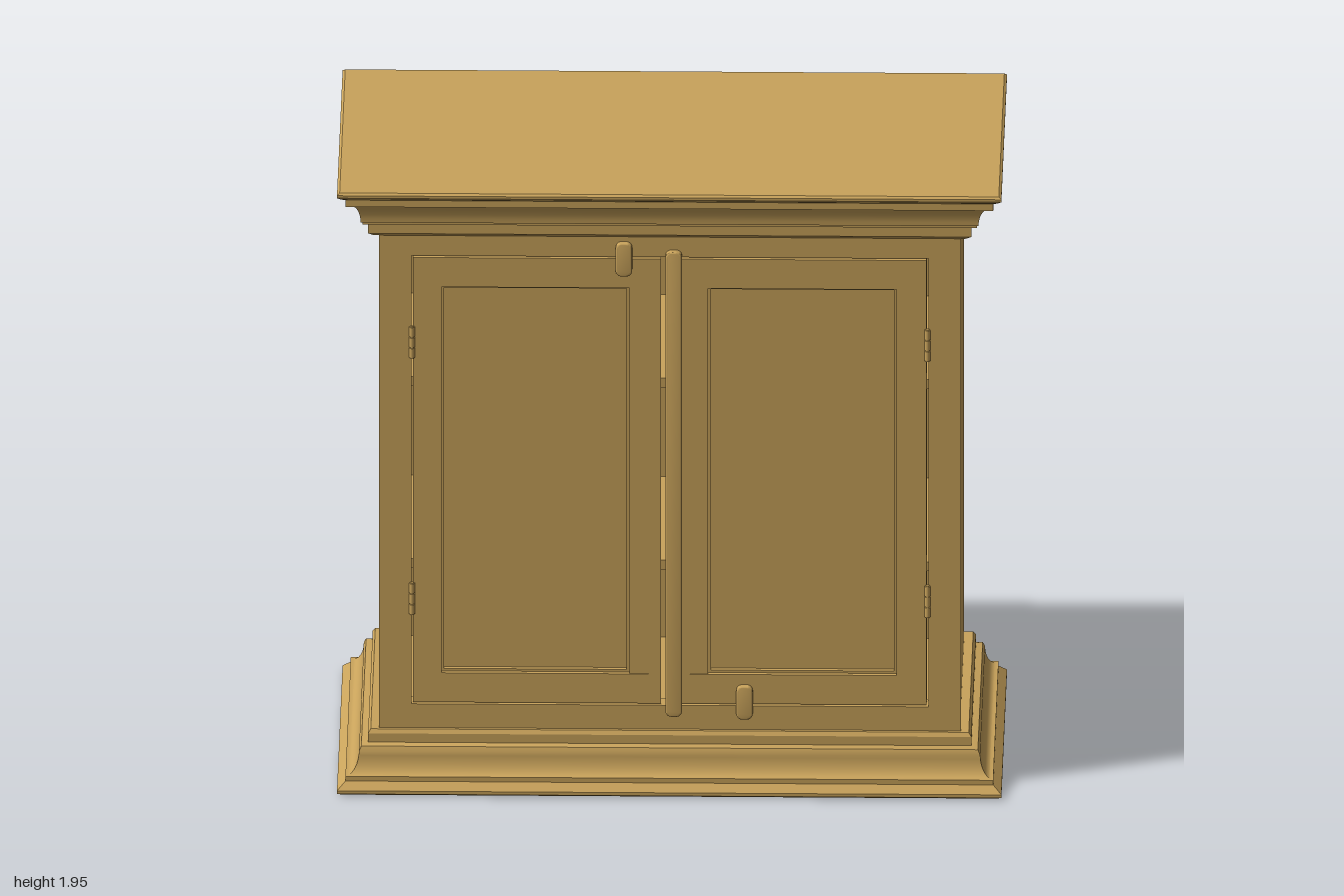
import * as THREE from 'three';
import { toCreasedNormals } from 'three/addons/utils/BufferGeometryUtils.js';

const wood = new THREE.MeshStandardMaterial({ color: 0xc9a35b });

function add(parent, name, geometry, x = 0, y = 0, z = 0) {
  const mesh = new THREE.Mesh(geometry, wood);
  mesh.name = name;
  mesh.position.set(x, y, z);
  parent.add(mesh);
  return mesh;
}

// Box given by its limits on each axis
function slab(parent, name, [x0, x1], [y0, y1], [z0, z1]) {
  const g = new THREE.BoxGeometry(x1 - x0, y1 - y0, z1 - z0);
  return add(parent, name, g, (x0 + x1) / 2, (y0 + y1) / 2, (z0 + z1) / 2);
}

// Mitred moulding: each profile point [half width, y] becomes a rectangular ring
function moulding(profile) {
  const pos = [];
  const index = [];
  for (const [hx, y] of profile) {
    const hz = hx - 0.49;
    pos.push(hx, y, hz, hx, y, -hz, -hx, y, -hz, -hx, y, hz);
  }
  for (let r = 0; r < profile.length - 1; r++) {
    for (let i = 0; i < 4; i++) {
      const a = r * 4 + i, b = r * 4 + ((i + 1) % 4);
      index.push(a, b, b + 4, a, b + 4, a + 4);
    }
  }
  const t = (profile.length - 1) * 4;
  index.push(0, 2, 1, 0, 3, 2, t, t + 1, t + 2, t, t + 2, t + 3);
  const g = new THREE.BufferGeometry();
  g.setAttribute('position', new THREE.Float32BufferAttribute(pos, 3));
  g.setIndex(index);
  return toCreasedNormals(g, 0.45);
}

// Concave quarter curve between a narrow and a wide profile point
function cove([x0, y0], [x1, y1], steps = 8) {
  const pts = [];
  for (let i = 0; i <= steps; i++) {
    const a = (i / steps) * Math.PI / 2;
    pts.push([x0 + (x1 - x0) * (1 - Math.cos(a)), y0 + (y1 - y0) * Math.sin(a)]);
  }
  return pts;
}

// Rounded, softly bevelled strip lying against the doors
function roundedStrip(w, h, depth, r) {
  const b = 0.005, x = w / 2 - b, y = h / 2 - b;
  const s = new THREE.Shape();
  s.moveTo(-x + r, -y);
  s.lineTo(x - r, -y);
  s.quadraticCurveTo(x, -y, x, -y + r);
  s.lineTo(x, y - r);
  s.quadraticCurveTo(x, y, x - r, y);
  s.lineTo(-x + r, y);
  s.quadraticCurveTo(-x, y, -x, y - r);
  s.lineTo(-x, -y + r);
  s.quadraticCurveTo(-x, -y, -x + r, -y);
  const g = new THREE.ExtrudeGeometry(s, {
    depth: depth - b, bevelThickness: b, bevelSize: b, bevelSegments: 3, curveSegments: 6,
  });
  return toCreasedNormals(g, 0.7);
}

// Framed door with a recessed panel
function door(parent, name, [x0, x1], [p0, p1]) {
  const g = new THREE.Group();
  g.name = name;
  parent.add(g);
  const z = [0.345, 0.398];
  slab(g, 'bottomRail', [x0, x1], [0.263, 0.358], z);
  slab(g, 'topRail', [x0, x1], [1.608, 1.703], z);
  slab(g, 'outerStile', [x0, p0], [0.358, 1.608], [0.345, 0.396]);
  slab(g, 'innerStile', [p1, x1], [0.358, 1.608], [0.345, 0.396]);
  slab(g, 'panel', [p0 - 0.005, p1 + 0.005], [0.35, 1.615], [0.35, 0.366]);
  // Narrow bead around the panel
  for (const x of [p0, p1 - 0.008]) slab(g, 'panelBead', [x, x + 0.008], [0.358, 1.608], [0.36, 0.382]);
  for (const y of [0.358, 1.6]) slab(g, 'panelBead', [p0, p1], [y, y + 0.008], [0.36, 0.382]);
}

export function createModel() {
  const cabinet = new THREE.Group();
  cabinet.name = 'cabinet';

  // Base, with a shallow hollow underneath
  add(cabinet, 'baseMoulding', moulding([
    [0.935, 0.025], [0.935, 0], [0.985, 0], [1, 0.008], [1, 0.018], [0.975, 0.04], [0.975, 0.055],
    ...cove([0.935, 0.12], [0.97, 0.055]).reverse(),
    [0.928, 0.135], [0.908, 0.14], [0.908, 0.168], [0.9, 0.18],
  ]));

  // Cornice
  add(cabinet, 'cornice', moulding([
    [0.89, 1.775], [0.908, 1.788], [0.908, 1.82], [0.925, 1.824], [0.925, 1.832],
    ...cove([0.93, 1.832], [0.97, 1.9]),
    [0.975, 1.9], [0.975, 1.922], [0.99, 1.93], [1, 1.938], [1, 1.946], [0.992, 1.952],
  ]));

  // Sides and face frame
  for (const s of [-1, 1]) {
    const span = (a, b) => (s > 0 ? [a, b] : [-b, -a]);
    slab(cabinet, 'sidePanel', span(0.838, 0.873), [0.17, 1.79], [-0.388, 0.34]);
    slab(cabinet, 'frontStile', span(0.778, 0.876), [0.17, 1.79], [0.34, 0.4]);
  }
  slab(cabinet, 'frameBottomRail', [-0.778, 0.778], [0.17, 0.257], [0.34, 0.398]);
  slab(cabinet, 'frameTopRail', [-0.778, 0.778], [1.709, 1.79], [0.34, 0.398]);

  // Back and shelves, whose rear edges show past the back panel
  slab(cabinet, 'backPanel', [-0.84, 0.84], [0.17, 1.79], [-0.366, -0.35]);
  for (const y of [0.685, 1.275]) slab(cabinet, 'shelf', [-0.838, 0.838], [y - 0.015, y + 0.015], [-0.38, 0.33]);

  // Doors
  door(cabinet, 'rightDoor', [-0.773, -0.027], [-0.688, -0.122]);
  door(cabinet, 'leftDoor', [-0.008, 0.773], [0.115, 0.682]);

  // Centre strip and the two turn buttons
  add(cabinet, 'centreStrip', roundedStrip(0.05, 1.505, 0.024, 0.015), 0.012, 0.98, 0.398);
  add(cabinet, 'upperTurnButton', roundedStrip(0.05, 0.108, 0.02, 0.016), -0.138, 1.705, 0.398);
  add(cabinet, 'lowerTurnButton', roundedStrip(0.05, 0.108, 0.02, 0.016), 0.225, 0.272, 0.398);

  // Three-knuckle hinges
  const knuckle = new THREE.CylinderGeometry(0.009, 0.009, 0.031, 16);
  for (const x of [-0.776, 0.776]) {
    for (const y of [0.6, 1.43]) {
      const hinge = new THREE.Group();
      hinge.name = 'hinge';
      hinge.position.set(x, y, 0.401);
      cabinet.add(hinge);
      for (const k of [-1, 0, 1]) add(hinge, 'knuckle', knuckle, 0, k * 0.034, 0);
      add(hinge, 'pin', new THREE.CylinderGeometry(0.006, 0.006, 0.104, 12));
    }
  }
  return cabinet;
}
